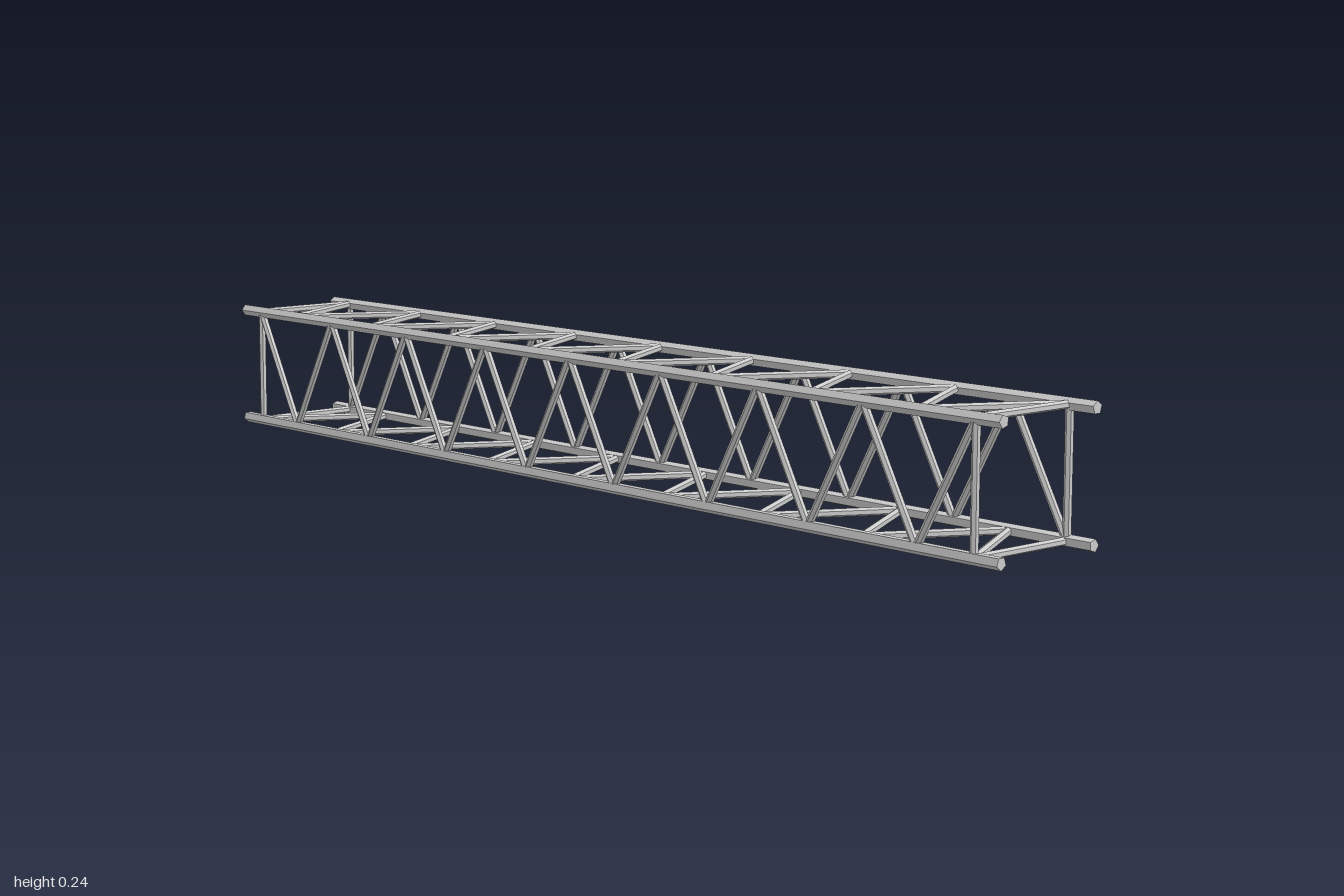
import * as THREE from 'three';

const HALF = 0.108;      // chord centre offset from the truss axis
const AXIS_Y = 0.118;    // height of the truss axis
const END = 0.945;       // x of the end struts
const BAYS = 16;         // diagonals per face
const material = new THREE.MeshStandardMaterial({ color: 0xcccccc, flatShading: true });

// Straight bar between two points
function bar(name, a, b, radius, sides) {
  const dir = b.clone().sub(a);
  const mesh = new THREE.Mesh(new THREE.CylinderGeometry(radius, radius, dir.length(), sides), material);
  mesh.position.copy(a).add(b).multiplyScalar(0.5);
  mesh.quaternion.setFromUnitVectors(new THREE.Vector3(0, 1, 0), dir.normalize());
  mesh.name = name;
  return mesh;
}

// One face of the truss: a chord, two end struts and the zigzag lacing
function trussFace(name) {
  const face = new THREE.Group();
  face.name = name;
  const point = (x, y) => new THREE.Vector3(x, y, HALF);

  face.add(bar('chord', point(-1, HALF), point(1, HALF), 0.011, 5));
  for (const x of [-END, END]) face.add(bar('endStrut', point(x, -HALF), point(x, HALF), 0.007, 6));

  const step = (2 * END) / BAYS;
  for (let i = 0; i < BAYS; i++) {
    const x = -END + i * step;
    const y = i % 2 === 0 ? HALF : -HALF;
    face.add(bar('diagonal', point(x, y), point(x + step, -y), 0.007, 6));
  }
  return face;
}

export function createModel() {
  const truss = new THREE.Group();
  truss.name = 'boxTruss';
  // The same face turned about the long axis, so opposite lacings cross
  ['frontFace', 'topFace', 'backFace', 'bottomFace'].forEach((name, i) => {
    const face = trussFace(name);
    face.rotation.x = (-i * Math.PI) / 2;
    face.position.y = AXIS_Y;
    truss.add(face);
  });
  return truss;
}
